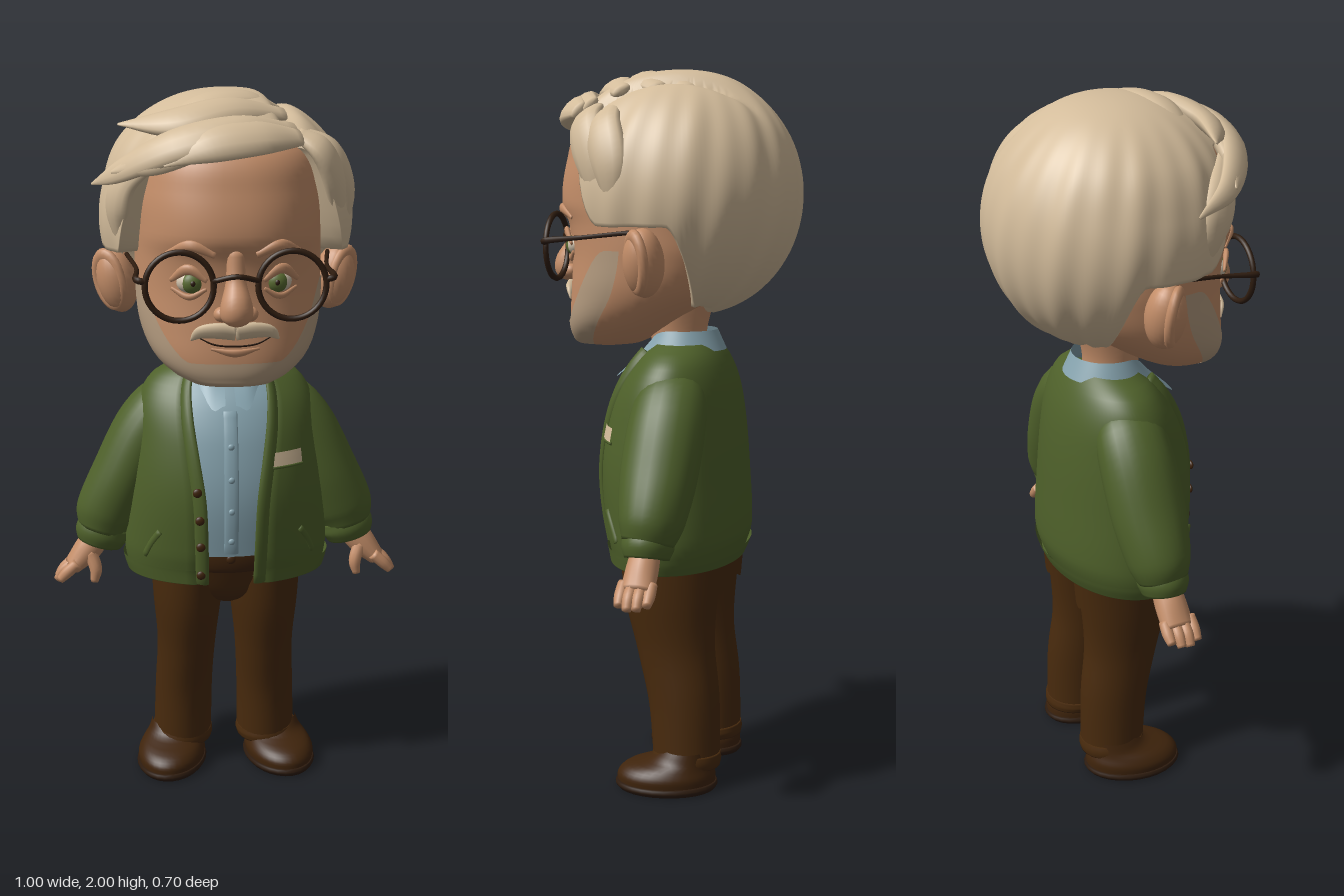
import * as THREE from 'three';
import { mergeVertices } from 'three/addons/utils/BufferGeometryUtils.js';

const { sin, cos, abs, min, max, PI, sign } = Math;
const smooth = THREE.MathUtils.smoothstep, lerp = THREE.MathUtils.lerp;
const V = (x, y, z) => new THREE.Vector3(x, y, z);

function mat(name, color, side = THREE.FrontSide) {
  const m = new THREE.MeshStandardMaterial({ color, side });
  m.name = name;
  return m;
}

// Smooth interpolation of table rows keyed by their first entry
function sample(rows, t) {
  let i = 0;
  while (i < rows.length - 2 && t > rows[i + 1][0]) i++;
  const a = rows[i], b = rows[i + 1], h = b[0] - a[0];
  const p = rows[i - 1] || a, n = rows[i + 2] || b;
  const s = min(1, max(0, (t - a[0]) / h));
  return a.map((_, k) => {
    const ma = (b[k] - p[k]) / (b[0] - p[0]) * h, mb = (n[k] - a[k]) / (n[0] - a[0]) * h;
    const s2 = s * s, s3 = s2 * s;
    return (2 * s3 - 3 * s2 + 1) * a[k] + (s3 - 2 * s2 + s) * ma + (3 * s2 - 2 * s3) * b[k] + (s3 - s2) * mb;
  });
}

// Surface from a rule f(u, v) -> point, outward along dU x dV
function grid(f, nu, nv) {
  const pos = [], idx = [];
  for (let i = 0; i <= nu; i++) for (let j = 0; j <= nv; j++) pos.push(...f(i / nu, j / nv).toArray());
  for (let i = 0; i < nu; i++) for (let j = 0; j < nv; j++) {
    const a = i * (nv + 1) + j, b = a + nv + 1;
    idx.push(a, b, a + 1, b, b + 1, a + 1);
  }
  let g = new THREE.BufferGeometry();
  g.setAttribute('position', new THREE.Float32BufferAttribute(pos, 3));
  g.setIndex(idx);
  g = mergeVertices(g, 1e-5);
  g.computeVertexNormals();
  return g;
}

// Closed tapering body through points [x, y, z, halfWidth, halfDepth]
function sweep(pts, n = 16, seg = 16, ref = () => V(0, 0, 1)) {
  const curve = new THREE.CatmullRomCurve3(pts.map(p => V(p[0], p[1], p[2])));
  const radii = pts.map((p, i) => [i / (pts.length - 1), p[3], p[4] ?? p[3]]);
  return grid((u, v) => {
    const t = min(1, max(0, (u * n - 1) / (n - 2)));
    const c = curve.getPoint(t), T = curve.getTangent(t);
    const A = T.clone().cross(ref(c)).normalize(), B = A.clone().cross(T);
    const [, ra, rb] = sample(radii, t), k = u === 0 || u === 1 ? 0 : 1;
    return c.addScaledVector(A, ra * k * cos(v * 2 * PI)).addScaledVector(B, rb * k * sin(v * 2 * PI));
  }, n, seg);
}

// Cross-sections: [y, half width, centre z, half depth]
const HEAD = [[1.235, .002, .19, .002], [1.245, .09, .18, .075], [1.27, .15, .16, .115], [1.32, .205, .12, .16],
  [1.4, .24, .06, .215], [1.5, .25, .03, .24], [1.58, .25, .03, .25], [1.64, .25, .03, .272],
  [1.75, .25, .01, .278], [1.85, .22, 0, .25], [1.92, .12, 0, .14]];
const BODY = [[.64, .275, -.02, .175], [.68, .287, -.025, .187], [.73, .292, -.025, .2], [.9, .28, -.015, .203],
  [1.05, .262, -.02, .185], [1.15, .245, -.03, .155], [1.22, .2, -.04, .115], [1.26, .12, -.04, .085]];
const OPEN = [[.64, .08], [.9, .088], [1.08, .112], [1.18, .118], [1.26, .1]];
const SHOE = [[.02, .098, 0, .14], [.045, .099, -.001, .138], [.068, .088, -.012, .12], [.085, .076, -.04, .087],
  [.115, .066, -.055, .068]];
const SEAT = [[.54, .1, -.035, .134], [.68, .112, -.03, .15]];

function ringPoint(rows, th, y, off = 0, p = 1, k = 1) {
  const [, rx, zc, rz] = sample(rows, y);
  const f = c => sign(c) * abs(c) ** p;
  return V((rx + off) * f(sin(th)) * k, y, zc + (rz + off) * f(cos(th)) * k);
}
const headP = (th, y, off) => ringPoint(HEAD, th, y, off, .88);
const openAngle = y => Math.asin(min(.85, sample(OPEN, y)[1] / sample(BODY, y)[1]));
const outward = c => c.clone().sub(V(0, 1.6, -.03));
const bodyOut = c => V(c.x, 0, c.z + .03);

// Hair shell: swept ridges, a parting and a hairline that dips behind the ears
function hairP(u, v) {
  const th = (v * 2 - 1) * PI, a = abs(th) * 180 / PI;
  const line = 1.875 - .295 * smooth(a, 40, 64) - .22 * smooth(a, 98, 118) - .025 * smooth(a, 120, 170);
  const phi = Math.acos((line - 1.66) / .335) * min(1, u / .95);
  const k = 1 - .25 * max(0, (u - .95) / .05), s = sin(phi) ** .9;
  const p = V(.343 * s * sin(th) * k, .33 * cos(phi), (cos(th) > 0 ? .35 : .33) * s * cos(th) * k);
  const dx = p.x - (.13 + .15 * p.z), top = smooth(p.y, .08, .2) * smooth(p.z, -.28, -.1);
  const groove = .09 * Math.exp(-((dx / .03) ** 2)) * top, lift = dx < 0 ? .018 * top : 0;
  const strand = .012 * sin(th * 17 + phi * 3) * sin(th * 5 + 1) * smooth(phi, .4, 1.1);
  return p.multiplyScalar(1 - groove + lift + strand).add(V(0, 1.66, -.03));
}

export function createModel() {
  const root = new THREE.Group();
  const hair = mat('hair', 0xd3bc9b, THREE.DoubleSide), skin = mat('skin', 0xc48e69);
  const knit = mat('greenKnit', 0x4e602a, THREE.DoubleSide), shirt = mat('blueShirt', 0x86a3ae, THREE.DoubleSide);
  const cloth = mat('brownTrousers', 0x482a0d), leather = mat('brownLeather', 0x3f240c);
  const dark = mat('darkBrown', 0x2e1c0f), stubble = mat('stubble', 0xb59c80, THREE.DoubleSide);
  const iris = mat('greenIris', 0x5a6c32), white = mat('eyeWhite', 0xcdbfa9);

  const add = (name, geo, m, parent = root) => {
    const mesh = new THREE.Mesh(geo, m);
    mesh.name = name;
    parent.add(mesh);
    return mesh;
  };
  const ball = (name, m, c, s, parent) => {
    const b = add(name, new THREE.SphereGeometry(1, 24, 16), m, parent);
    b.position.set(...c);
    b.scale.set(...s);
  };

  // Head, nose, neck
  add('head', grid((u, v) => headP(u * 2 * PI, lerp(1.235, 1.92, v)), 64, 48), skin);
  add('neck', sweep([[0, 1.17, -.03, .08, .075], [0, 1.28, -.02, .08, .08], [0, 1.4, -.02, .1, .11]]), skin);
  add('nose', sweep([[0, 1.61, .275, .022, .018], [0, 1.53, .284, .027, .025], [0, 1.47, .302, .042, .042],
    [0, 1.44, .3, .04, .038], [0, 1.423, .295, .015, .015]], 24), skin);

  // Beard, moustache and mouth
  add('beard', grid((u, v) => {
    const th = lerp(-1.42, 1.42, u);
    return headP(th, lerp(1.25, 1.315 + .2 * smooth(abs(th), .55, 1.25), v), .004);
  }, 48, 14), stubble);
  const facePath = (pts, r, off) => sweep(pts.map(([th, y], i) =>
    [...headP(th, y, off).toArray(), r[i], r[i] * .6]), 18, 10, outward);
  add('mouth', facePath([[-.34, 1.382], [-.2, 1.367], [0, 1.362], [.2, 1.367], [.34, 1.382]], [.002, .003, .003, .003, .002], .004), dark);
  add('lowerLip', facePath([[-.24, 1.353], [0, 1.342], [.24, 1.353]], [.004, .014, .004], -.001), skin);

  for (const s of [-1, 1]) {
    add('moustache', facePath([[0, 1.397], [s * .15, 1.402], [s * .34, 1.396], [s * .46, 1.376]], [.026, .026, .019, .003], .002), hair);
    ball('nostril', skin, [s * .036, 1.448, .285], [.022, .02, .022]);
    add('eyebrow', facePath([[s * .17, 1.6], [s * .42, 1.625], [s * .72, 1.6]], [.008, .014, .005], .003), skin);
    add('upperEyelid', facePath([[s * .24, 1.532], [s * .43, 1.562], [s * .64, 1.53]], [.006, .014, .006], .01), skin);
    add('lowerEyelid', facePath([[s * .25, 1.51], [s * .43, 1.488], [s * .64, 1.508]], [.005, .009, .005], .006), skin);

    // Eyes
    ball('eye', white, [s * .11, 1.524, .236], [.04, .03, .03]);
    ball('iris', iris, [s * .11, 1.524, .252], [.027, .027, .019]);
    ball('pupil', dark, [s * .109, 1.525, .266], [.008, .009, .007]);

    // Ears
    const ear = new THREE.Group();
    ear.name = 'ear';
    ear.position.set(s * .298, 1.488, -.008);
    ear.rotation.z = -s * .2;
    ball('earBody', skin, [0, 0, 0], [.055, .092, .055], ear);
    const rim = add('earRim', new THREE.TorusGeometry(.043, .014, 10, 28), skin, ear);
    rim.scale.y = 1.55;
    rim.rotation.y = s * .75;
    rim.position.set(s * .02, .006, .014);
    root.add(ear);

    // Glasses
    add('glassesRim', new THREE.TorusGeometry(.088, .008, 8, 40), dark).position.set(s * .145, 1.522, .287);
    add('glassesTemple', sweep([[s * .23, 1.535, .287, .008], [s * .252, 1.54, .284, .009], [s * .25, 1.55, .18, .006],
      [s * .272, 1.565, .04, .006]], 20, 8, () => V(0, 1, 0)), dark);
  }
  add('glassesBridge', sweep([[-.058, 1.535, .29, .007], [0, 1.55, .312, .007], [.058, 1.535, .29, .007]], 12, 8), dark);

  // Hair cap and swept locks
  add('hair', grid(hairP, 60, 160), hair);
  const locks = [
    [[.16, 1.9, .18], [.02, 1.905, .25], [-.15, 1.87, .255], [-.29, 1.8, .17], [-.36, 1.755, .05]],
    [[.17, 1.885, .21], [.06, 1.89, .265], [-.07, 1.875, .282], [-.18, 1.825, .28]],
    [[.14, 1.935, .1], [0, 1.95, .16], [-.13, 1.925, .19], [-.29, 1.915, .13]],
    [[.15, 1.89, .2], [-.02, 1.9, .25], [-.2, 1.84, .23], [-.31, 1.8, .18]],
    [[.17, 1.89, .16], [.23, 1.85, .17], [.275, 1.75, .14], [.285, 1.6, .11]],
    [[.18, 1.89, .11], [.26, 1.845, .11], [.31, 1.74, .08], [.31, 1.6, .07]],
    [[-.18, 1.85, .22], [-.27, 1.78, .16], [-.295, 1.7, .13], [-.285, 1.58, .11]],
    [[.13, 1.94, 0], [.05, 1.965, .06], [-.08, 1.95, .1], [-.22, 1.875, .1]],
    [[.12, 1.935, -.08], [.03, 1.968, -.03], [-.1, 1.945, .02], [-.24, 1.865, .02]],
  ];
  for (const path of locks) {
    const w = [.025, .05, .052, .034, .004], n = path.length - 1;
    add('hairLock', sweep(path.map((p, i) => {
      const r = i === n ? .004 : w[i];
      return [...p, r, r * .5];
    }), 24, 12, outward), hair);
  }

  // Shirt, collar and buttons
  add('shirt', grid((u, v) => ringPoint(BODY, u * 2 * PI, lerp(.73, 1.22, v), -.015), 48, 24), shirt);
  add('collar', grid((u, v) => {
    const th = lerp(.12, 2 * PI - .12, u), f = max(0, cos(th)) ** 3;
    const point = .04 * Math.exp(-(((abs(sin(th)) - .45) / .2) ** 2)) * f;
    const low = V(.12 * sin(th), 1.235 - .07 * f - point, -.035 + .12 * cos(th) + .06 * f + point);
    const high = V(.098 * sin(th), 1.29 - .05 * f, -.035 + .095 * cos(th));
    return low.lerp(high, v);
  }, 72, 6), shirt);
  const placket = [.74, .85, .96, 1.07, 1.14].map(y => [...ringPoint(BODY, 0, y, -.014).toArray(), .02, .005]);
  add('placket', sweep(placket, 18, 10), shirt);
  for (const y of [.78, .87, .96, 1.05]) ball('shirtButton', shirt, ringPoint(BODY, 0, y, -.006).toArray(), [.009, .009, .005]);

  // Cardigan
  const panel = (y0, y1, off) => grid((u, v) => {
    const y = lerp(y0, y1, max(0, (v - .06) / .94)), a = openAngle(y);
    const k = v === 0 ? .8 : u === 0 || u === 1 ? .93 : 1;
    return ringPoint(BODY, lerp(a, 2 * PI - a, u), y, off, 1, k);
  }, 72, 34);
  add('cardigan', panel(.655, 1.255, 0), knit);
  add('cardiganHem', panel(.645, .69, .008), knit);
  for (const s of [-1, 1]) {
    const edge = [.65, .78, .9, 1.02, 1.12, 1.19, 1.235].map(y =>
      [...ringPoint(BODY, s * openAngle(y), y, .002).toArray(), .02, .01]);
    add('cardiganBand', sweep(edge, 30, 12, bodyOut), knit);
    const welt = [[.75, .8], [.85, .765], [.95, .72]].map(([th, y]) => [...ringPoint(BODY, s * th, y, .001).toArray(), .01, .006]);
    add('sidePocket', sweep(welt, 10, 8, bodyOut), knit);

    // Sleeve and cuff
    add('sleeve', sweep([[s * .1, 1.16, -.05, .03, .04], [s * .165, 1.13, -.05, .075, .09], [s * .22, 1.06, -.05, .09, .105],
      [s * .29, .92, -.045, .092, .105], [s * .342, .805, -.04, .09, .088], [s * .358, .755, -.035, .07, .07]], 30, 24), knit);
    add('cuff', sweep([[s * .345, .775, -.036, .072, .066], [s * .357, .745, -.035, .078, .07], [s * .366, .715, -.035, .066, .06]], 12, 24), knit);

    // Hand
    add('palm', sweep([[s * .362, .745, -.035, .038, .038], [s * .4, .695, -.033, .04, .044], [s * .445, .645, -.032, .026, .046]]), skin);
    for (let i = 0; i < 4; i++) {
      const z = -.067 + .025 * i, d = [.012, .002, 0, .008][i];
      add('finger', sweep([[s * .43, .665, z, .016], [s * (.468 - d), .638, z, .017], [s * (.49 - d), .607 + d, z, .012]], 12, 10), skin);
    }
    add('thumb', sweep([[s * .395, .695, -.01, .02], [s * .378, .645, .005, .018], [s * .383, .607, .008, .011]], 12, 10), skin);

    // Trouser leg, turn-up and back pocket
    add('trouserLeg', sweep([[s * .108, .7, -.03, .112, .15], [s * .112, .55, -.03, .1, .135], [s * .115, .4, -.045, .086, .112],
      [s * .122, .25, -.07, .085, .102], [s * .127, .07, -.08, .087, .095]], 28, 24), cloth);
    add('trouserTurnUp', sweep([[s * .127, .1, -.08, .088, .096], [s * .128, .08, -.08, .092, .099], [s * .128, .062, -.08, .088, .096]], 10, 24), cloth);
    add('backPocket', grid((u, v) => ringPoint(SEAT, lerp(PI - .45, PI + .45, u), lerp(.555 + .04 * abs(u - .5), .65, v), .006)
      .add(V(s * .11, 0, 0)), 12, 6), cloth);

    // Shoe
    const shoe = new THREE.Group();
    shoe.name = 'shoe';
    shoe.position.set(s * .163, 0, -.03);
    shoe.rotation.y = s * .2;
    add('sole', sweep([[0, 0, 0, .096, .138], [0, .012, 0, .104, .146], [0, .024, 0, .1, .142]], 8, 28), dark, shoe);
    add('shoeUpper', grid((u, v) => ringPoint(SHOE, u * 2 * PI, lerp(.02, .115, v)), 36, 14), leather, shoe);
    for (const [y, z] of [[.074, .06], [.084, .035]]) {
      add('shoelace', sweep([[-.04, y - .014, z, .005], [0, y, z, .006], [.04, y - .014, z, .005]], 8, 6), leather, shoe);
    }
    root.add(shoe);
  }
  for (const y of [.68, .77, .85, .93]) ball('cardiganButton', leather, ringPoint(BODY, -openAngle(y), y, .013).toArray(), [.013, .013, .007]);

  // Chest pocket handkerchief
  add('pocketSquare', grid((u, v) => ringPoint(BODY, lerp(.43, .82, u), lerp(.992, 1.03, v), .006), 10, 3), hair);
  add('chestPocketTrim', sweep([.42, .62, .83].map(th => [...ringPoint(BODY, th, .988, .002).toArray(), .005, .006]), 10, 8, bodyOut), knit);

  // Hips and belt
  add('hips', sweep([[0, .555, -.035, .05, .08], [0, .6, -.03, .17, .122], [0, .68, -.028, .217, .15], [0, .76, -.025, .22, .165]], 24, 32), cloth);
  add('belt', sweep([[0, .7, -.025, .222, .17], [0, .72, -.022, .226, .178], [0, .742, -.022, .224, .176]], 10, 32), leather);
  ball('trouserButton', leather, [0, .72, .156], [.013, .013, .006]);

  return root;
}
